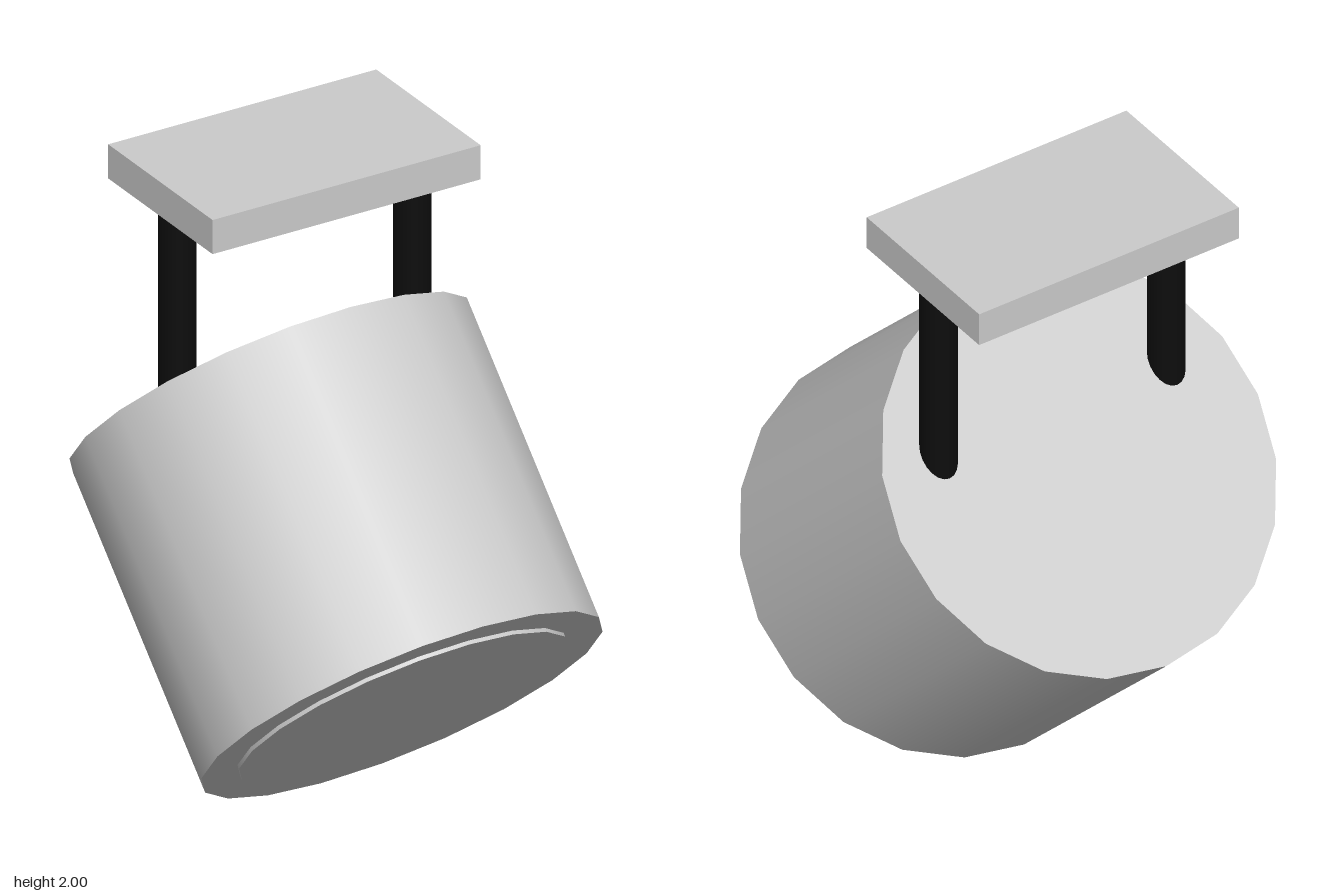
import * as THREE from 'three';

export function createModel() {
  const model = new THREE.Group();
  const grey = new THREE.MeshStandardMaterial({ color: 0xcccccc });
  const black = new THREE.MeshStandardMaterial({ color: 0x0d0d0d });

  const add = (parent, name, geometry, material, x, y, z) => {
    const mesh = new THREE.Mesh(geometry, material);
    mesh.name = name;
    mesh.position.set(x, y, z);
    parent.add(mesh);
    return mesh;
  };

  // Lamp head: a drum tilted so its lens faces forward and down
  const length = 1.02;
  const head = new THREE.Group();
  head.name = 'lampHead';
  head.position.set(0, 0.807, 0);
  head.rotation.x = -Math.PI / 4;
  model.add(head);
  add(head, 'housing', new THREE.CylinderGeometry(0.625, 0.625, length, 20), grey, 0, 0, 0);

  // Lens disc, standing slightly proud of the front face
  add(head, 'lens', new THREE.CylinderGeometry(0.513, 0.513, 0.04, 20), grey, 0, -length / 2 + 0.008, 0);

  // Two rods running from the mount down into the drum
  const rodBottom = 1.1, rodTop = 1.9;
  for (const [side, name] of [[1, 'leftRod'], [-1, 'rightRod']]) {
    add(model, name, new THREE.CylinderGeometry(0.056, 0.056, rodTop - rodBottom, 20), black,
      side * 0.398, (rodTop + rodBottom) / 2, -0.225);
  }

  // Ceiling mount plate
  add(model, 'mountPlate', new THREE.BoxGeometry(0.908, 0.11, 0.57), grey, 0, 1.945, -0.227);

  return model;
}
